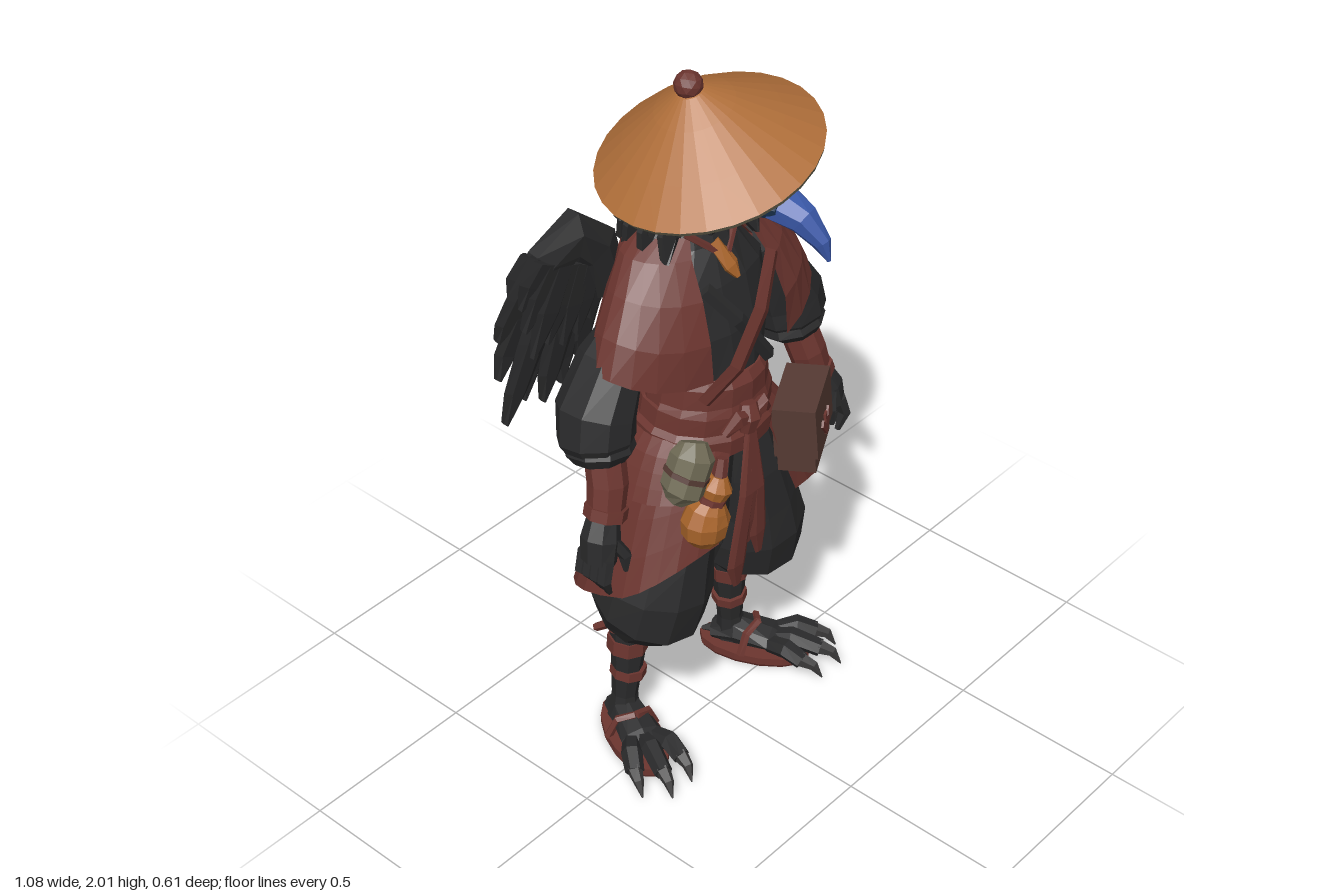
import * as THREE from 'three';

const V = (x, y, z) => new THREE.Vector3(x, y, z);
const mat = (name, color) => {
  const m = new THREE.MeshStandardMaterial({ color, side: THREE.DoubleSide });
  m.name = name;
  return m;
};

// Deterministic jitter
let seed = 7;
const rnd = () => (seed = (seed * 16807) % 2147483647) / 2147483647;
const pow = (v, e) => Math.sign(v) * Math.abs(v) ** e;

// Faceted surface from f(u, v)
function grid(nu, nv, f) {
  const pos = [], idx = [];
  for (let j = 0; j <= nv; j++) for (let i = 0; i <= nu; i++) pos.push(...f(i / nu, j / nv));
  for (let j = 0; j < nv; j++) for (let i = 0; i < nu; i++) {
    const a = j * (nu + 1) + i, b = a + 1, c = a + nu + 1, d = c + 1;
    idx.push(a, b, d, a, d, c);
  }
  const g = new THREE.BufferGeometry();
  g.setAttribute('position', new THREE.Float32BufferAttribute(pos, 3));
  g.setIndex(idx);
  return facet(g);
}

function facet(g) {
  const f = g.index ? g.toNonIndexed() : g;
  f.computeVertexNormals();
  return f;
}

// Closed tapered body through points [x, y, z, radius, second radius]
function tube(pts, n = 8) {
  const p = pts.map(q => V(q[0], q[1], q[2])), last = p.length - 1;
  const dir = p[last].clone().sub(p[0]).normalize();
  const ref = Math.abs(dir.z) > 0.75 ? V(0, 1, 0) : V(0, 0, 1);
  return grid(n, last + 2, (u, v) => {
    const row = Math.round(v * (last + 2)), i = Math.min(Math.max(row - 1, 0), last);
    const k = row === 0 || row === last + 2 ? 0 : 1;
    const t = p[Math.min(i + 1, last)].clone().sub(p[Math.max(i - 1, 0)]).normalize();
    const s = ref.clone().cross(t).normalize(), b = t.clone().cross(s);
    const a = (u % 1) * Math.PI * 2, r = pts[i][3] * k, r2 = (pts[i][4] ?? pts[i][3]) * k;
    return p[i].clone().addScaledVector(s, r * Math.cos(a)).addScaledVector(b, r2 * Math.sin(a)).toArray();
  });
}

export function createModel() {
  const model = new THREE.Group();
  const black = mat('charcoal feather', 0x2a2a2b), red = mat('maroon cloth', 0x6c352f);
  const straw = mat('straw', 0xb06f3a), lining = mat('olive canvas', 0x6f6a55);
  const blue = mat('beak blue', 0x3a58a8), navy = mat('mask navy', 0x1e3a5a);
  const brown = mat('satchel leather', 0x553a33), sole = mat('sandal sole', 0x4c211d);
  const orange = mat('gourd orange', 0xa8642a), claw = mat('claw grey', 0x3b3a3a);

  const add = (name, geo, m, parent = model) => {
    const mesh = new THREE.Mesh(geo, m);
    mesh.name = name;
    parent.add(mesh);
    return mesh;
  };
  const box = (name, m, size, at, rot, parent) => {
    const b = add(name, new THREE.BoxGeometry(...size), m, parent);
    b.position.set(...at);
    b.rotation.set(...rot);
  };

  // Tilted straw hat
  const hat = new THREE.Group();
  hat.name = 'hat';
  hat.position.set(0, 1.775, -0.005);
  hat.rotation.set(-0.07, 0, 0.28);
  model.add(hat);
  const lathe = (pts, n) => facet(new THREE.LatheGeometry(pts.map(q => new THREE.Vector2(...q)), n));
  add('hatCrown', lathe([[0.285, 0], [0.2, 0.068], [0.1, 0.145], [0.035, 0.19], [0, 0.2]], 28), straw, hat);
  add('hatLining', lathe([[0, 0.15], [0.1, 0.1], [0.262, -0.006], [0.28, -0.012], [0.285, 0]], 28), lining, hat);
  add('hatKnob', facet(new THREE.IcosahedronGeometry(0.036, 1)), red, hat).position.y = 0.205;

  // Head, mask and beak
  add('head', tube([[0, 1.52, -0.08, 0.09, 0.09], [0.01, 1.64, -0.06, 0.115, 0.12], [0.01, 1.76, -0.05, 0.13, 0.14],
    [0, 1.84, -0.04, 0.09, 0.1]], 10), black);
  add('beakTip', tube([[0.082, 1.555, 0.303, 0.005], [0.078, 1.6, 0.283, 0.022, 0.026],
    [0.066, 1.652, 0.235, 0.04, 0.04], [0.052, 1.682, 0.17, 0.055, 0.048]], 8), blue);
  add('mask', tube([[0.053, 1.687, 0.19, 0.05, 0.047], [0.042, 1.7, 0.12, 0.085, 0.062],
    [0.025, 1.71, 0.05, 0.122, 0.075], [0.02, 1.71, -0.01, 0.128, 0.075]], 8), navy);
  add('brow', tube([[0.04, 1.76, 0.15, 0.045, 0.02], [0.03, 1.785, 0.08, 0.1, 0.035], [0.01, 1.79, -0.02, 0.12, 0.04]], 8), black);
  for (const s of [1, -1]) add('chinCord', tube([[s * 0.14, 1.83, -0.01, 0.012], [s * 0.145, 1.72, -0.01, 0.012],
    [s * 0.11, 1.6, 0.0, 0.01], [0, 1.5, 0.05, 0.01]], 5), red);
  add('neckCord', tube([[-0.02, 1.54, 0.02, 0.025], [0, 1.48, 0.065, 0.025, 0.015], [0.01, 1.45, 0.08, 0.008]], 5), orange);

  // Shaggy neck feathers in tiers
  for (let tier = 0; tier < 3; tier++) for (let i = 0; i < 12; i++) {
    const a = 0.75 + (i + (tier % 2) * 0.5) / 12 * (Math.PI * 2 - 1.5);
    const y = 1.79 - tier * 0.07, r = 0.11, l = 0.09 + rnd() * 0.05;
    const at = (k, dy, w) => [Math.sin(a) * k * 1.08, y - dy, -0.07 + Math.cos(a) * k, w, 0.014];
    add('neckFeather', tube([at(r, 0, 0.035), at(r + 0.03, l * 0.5, 0.043), at(r + 0.045 + rnd() * 0.02, l, 0.003)], 5), black);
  }

  // Torso with red back panel and sash
  const trunk = [[1.0, 0.17, 0.14, -0.02], [1.17, 0.15, 0.14, -0.02], [1.3, 0.2, 0.14, -0.03],
    [1.42, 0.2, 0.13, -0.05], [1.52, 0.12, 0.11, -0.07], [1.58, 0.1, 0.1, -0.08]];
  add('tunic', tube(trunk.map(([y, rx, rz, z]) => [0, y, z, rx, rz]), 14), black);
  add('coatBack', grid(10, trunk.length - 1, (u, v) => {
    const [y, rx, rz, z] = trunk[Math.round(v * (trunk.length - 1))], a = Math.PI * (0.5 + u);
    return [Math.sin(a) * (rx + 0.015), y, z + Math.cos(a) * (rz + 0.02)];
  }), red);
  add('sash', tube([[0, 0.99, -0.03, 0.195, 0.175], [0, 1.035, -0.025, 0.198, 0.175], [0, 1.05, -0.025, 0.185, 0.165],
    [0, 1.1, -0.02, 0.178, 0.165], [0, 1.115, -0.02, 0.166, 0.158], [0, 1.17, -0.02, 0.158, 0.16],
    [0, 1.195, -0.02, 0.145, 0.145]], 16), red);
  add('lapel', tube([[-0.1, 1.46, 0.07, 0.02, 0.012], [-0.03, 1.36, 0.118, 0.02, 0.012], [0.08, 1.2, 0.125, 0.02, 0.012]], 4), black);
  add('chestStrap', tube([[0.13, 1.47, 0.085, 0.03, 0.012], [0.04, 1.36, 0.13, 0.034, 0.012],
    [-0.06, 1.24, 0.138, 0.034, 0.012], [-0.14, 1.16, 0.1, 0.03, 0.012]], 4), red);

  // Shoulder mantle, open at the front and long at the back
  const cape = [[0, 0.375, 0.175, -0.03], [0.3, 0.335, 0.175, -0.035], [0.6, 0.275, 0.155, -0.05],
    [0.85, 0.21, 0.125, -0.075], [1, 0.13, 0.1, -0.09]];
  add('mantle', grid(22, cape.length - 1, (u, v) => {
    const [h, rx, rz, z] = cape[Math.round(v * (cape.length - 1))];
    const a0 = 0.38 + 0.2 * v, a = a0 + u * (Math.PI * 2 - 2 * a0);
    const back = Math.max(0, -Math.cos(a)) ** 3;
    const y0 = 1.235 + 0.07 * Math.sin(a) ** 4 - 0.08 * back;
    return [Math.sin(a) * rx, y0 + (1.585 - y0) * h, z + Math.cos(a) * rz + 0.02 * back * (1 - h)];
  }), red);

  // Skirt and shorter over-layer; the hem drops toward the back
  const skirt = (a0, hem, grow, rxEnd, frontEnd, backEnd) => grid(26, 4, (u, v) => {
    const a = a0 + u * (Math.PI * 2 - 2 * a0), c = Math.cos(a), w = 1 - v;
    const y = 1.03 + (hem(c) - 1.03) * w, bulge = w ** 0.8, e = 1 - 0.22 * w;
    const rz = c > 0 ? 0.16 + (frontEnd - 0.16) * bulge : 0.15 + (backEnd - 0.15) * bulge;
    return [pow(Math.sin(a), e) * (0.185 + (rxEnd - 0.185) * bulge + grow), y, -0.03 + pow(c, e) * (rz + grow)];
  });
  add('skirt', skirt(0.33, c => 0.6 + 0.14 * c + 0.02 * c * c, 0, 0.365, 0.2, 0.27), red);
  add('skirtOverlayer', skirt(0.8, c => 0.88 + 0.03 * c, 0.012, 0.275, 0.185, 0.218), red);
  add('trouserSeat', tube([[0, 0.47, -0.07, 0.05, 0.06], [0, 0.6, -0.06, 0.08, 0.1], [0, 0.95, -0.03, 0.1, 0.1]], 8), black);

  for (const s of [1, -1]) {
    const side = s > 0 ? 'left' : 'right';
    const limb = (name, pts, m, n = 8, parent = model) =>
      add(side + name, tube(pts.map(([x, ...q]) => [s * x, ...q]), n), m, parent);

    // Arm
    limb('Sleeve', [[0.24, 1.39, -0.06, 0.05], [0.295, 1.3, -0.06, 0.075, 0.09], [0.355, 1.18, -0.06, 0.1, 0.105],
      [0.368, 1.11, -0.05, 0.1, 0.1], [0.37, 1.065, -0.04, 0.07]], black, 9);
    limb('SleeveCuff', [[0.362, 1.105, -0.045, 0.085], [0.367, 1.08, -0.04, 0.092], [0.37, 1.055, -0.035, 0.07]], black, 9);
    limb('Bracer', [[0.367, 1.08, -0.025, 0.052], [0.383, 1.0, 0, 0.052], [0.405, 0.92, 0.01, 0.048]], red);
    limb('BracerBand', [[0.397, 0.945, 0.008, 0.056], [0.407, 0.915, 0.01, 0.056]], red);
    limb('Palm', [[0.41, 0.93, 0.01, 0.04], [0.435, 0.87, 0.02, 0.05, 0.052], [0.45, 0.81, 0.025, 0.04, 0.05]], black);
    for (let i = 0; i < 4; i++) limb('Finger', [[0.455, 0.83, 0.06 - i * 0.025, 0.019], [0.472, 0.775, 0.065 - i * 0.026, 0.018],
      [0.45, 0.725 + i * 0.006, 0.06 - i * 0.022, 0.008]], black, 5);
    limb('Thumb', [[0.425, 0.87, 0.05, 0.018], [0.4, 0.82, 0.07, 0.018], [0.405, 0.775, 0.075, 0.006]], black, 5);

    // Wing: shoulder arch, long feathers and coverts
    limb('WingArch', [[0.19, 1.42, -0.16, 0.05, 0.03], [0.235, 1.55, -0.165, 0.07, 0.04], [0.305, 1.615, -0.17, 0.07, 0.045],
      [0.38, 1.57, -0.18, 0.07, 0.04], [0.43, 1.48, -0.19, 0.04, 0.02]], black, 7);
    const tips = [[0.525, 1.4], [0.53, 1.29], [0.515, 1.15], [0.45, 1.19], [0.385, 1.15], [0.32, 1.17], [0.26, 1.22]];
    tips.forEach(([tx, ty], i) => {
      const k = i / 6, rx = 0.41 - 0.18 * k, ry = 1.6 - 0.08 * k, dz = (i % 2) * 0.01;
      const at = (f, w, z) => [rx + (tx - rx) * f, ry + (ty - ry) * f, z, w, 0.013];
      limb('WingFeather', [at(0, 0.045, -0.17 - dz), at(0.5, 0.052, -0.19 - dz), at(0.8, 0.042, -0.205 - dz), at(1, 0.004, -0.215)], black, 6);
      for (const z of [0.022, -0.022]) limb('WingCovert', [at(0.02, 0.045, -0.175 + z), at(0.3, 0.052, -0.187 + z),
        at(0.58, 0.006, -0.195 + z * 0.6)], black, 6);
    });

    // Trousers, shin and wraps
    limb('Trouser', [[0.2, 0.4, -0.1, 0.07], [0.2, 0.425, -0.09, 0.115], [0.195, 0.485, -0.05, 0.158, 0.16], [0.185, 0.56, -0.035, 0.158, 0.16],
      [0.165, 0.66, -0.03, 0.135, 0.15], [0.125, 0.8, -0.025, 0.11, 0.14], [0.09, 0.98, -0.025, 0.08, 0.12]], black, 11);
    limb('Shin', [[0.225, 0.04, -0.12, 0.045], [0.218, 0.12, -0.12, 0.036], [0.208, 0.25, -0.115, 0.046], [0.2, 0.43, -0.11, 0.06]], black);
    for (const [y, h, r] of [[0.37, 0.012, 0.062], [0.3, 0.022, 0.056], [0.2, 0.014, 0.05]])
      limb('ShinWrap', [[0.21, y - h, -0.115, r], [0.206, y + h, -0.114, r]], red);
    limb('WrapKnot', [[0.25, 0.375, -0.14, 0.014], [0.262, 0.345, -0.18, 0.012]], red, 5);

    // Sandalled clawed foot
    const foot = new THREE.Group();
    foot.name = side + 'Foot';
    foot.position.set(s * 0.222, 0, -0.12);
    foot.rotation.y = s * 0.42;
    model.add(foot);
    const slab = (name, m, r, h, y) => {
      const d = add(name, facet(new THREE.CylinderGeometry(r, r, h, 14)), m, foot);
      d.scale.z = 2.15;
      d.position.set(0, y, 0.07);
    };
    slab('sandal', red, 0.075, 0.022, 0.018);
    slab('sandalSole', sole, 0.073, 0.008, 0.004);
    limb('Instep', [[0, 0.05, -0.05, 0.04, 0.025], [0, 0.065, 0.02, 0.05, 0.045], [0, 0.06, 0.12, 0.06, 0.03], [0, 0.05, 0.16, 0.05, 0.022]], black, 8, foot);
    limb('HeelClaw', [[0, 0.05, -0.04, 0.02], [0, 0.035, -0.085, 0.006]], claw, 5, foot);
    for (const d of [-1, 0, 1]) {
      const reach = d ? 0.23 : 0.265;
      limb('Toe', [[d * 0.03, 0.055, 0.12, 0.025], [d * 0.055, 0.07, 0.18, 0.029], [d * 0.068, 0.05, reach, 0.026]], black, 6, foot);
      limb('Claw', [[d * 0.067, 0.055, reach - 0.005, 0.022], [d * 0.072, 0.045, reach + 0.035, 0.015], [d * 0.072, 0.008, reach + 0.06, 0.002]], claw, 5, foot);
      if (d) limb('SandalStrap', [[d * 0.07, 0.025, 0.05, 0.012], [d * 0.045, 0.085, 0.06, 0.012], [0, 0.1, 0.08, 0.012]], red, 5, foot);
    }
  }

  // Sash knot, loops and hanging tails
  add('sashKnot', tube([[-0.05, 1.06, 0.165, 0.025, 0.02], [-0.045, 1.1, 0.17, 0.036, 0.028], [-0.04, 1.135, 0.16, 0.025, 0.02]], 7), red);
  for (const s of [1, -1]) add('sashLoop', tube([[-0.045, 1.1, 0.17, 0.015], [-0.045 + s * 0.045, 1.115, 0.17, 0.03, 0.018],
    [-0.045 + s * 0.08, 1.08, 0.155, 0.012]], 6), red);
  for (const [x, y, w] of [[-0.1, 0.58, 0.03], [-0.015, 0.64, 0.026], [-0.055, 0.7, 0.03]])
    add('sashTail', tube([[-0.045, 1.09, 0.17, 0.018, 0.01], [-0.045 + (x + 0.045) * 0.5, 0.88, 0.185, w, 0.011],
      [x, y + 0.08, 0.175, w * 1.2, 0.01], [x + 0.015, y, 0.165, w * 0.5, 0.006]], 6), red);

  // Hip satchel with flap and clasp
  const bag = new THREE.Group();
  bag.name = 'satchel';
  bag.position.set(0.21, 0.93, 0.13);
  bag.rotation.set(-0.08, 0.5, 0.06);
  model.add(bag);
  box('satchelBody', brown, [0.19, 0.18, 0.1], [0, -0.01, 0], [0, 0, 0], bag);
  box('satchelFlap', brown, [0.205, 0.15, 0.115], [0, 0.025, 0.002], [0, 0, 0], bag);
  for (const t of [-0.7, 0, 0.7]) box('satchelClasp', red, [0.02, 0.06, 0.008], [t * 0.03, -0.005, 0.062], [0, 0, -t], bag);

  // Bedroll and gourd on the other hip
  add('bedroll', tube([[-0.262, 0.945, 0.11, 0.035], [-0.25, 0.97, 0.125, 0.058], [-0.215, 1.055, 0.13, 0.058], [-0.2, 1.085, 0.12, 0.035]], 8), lining);
  add('bedrollTie', tube([[-0.238, 1.003, 0.127, 0.061], [-0.232, 1.015, 0.128, 0.061]], 8), brown);
  add('gourd', tube([[-0.2, 0.785, 0.15, 0.035], [-0.197, 0.815, 0.152, 0.064, 0.055], [-0.193, 0.855, 0.153, 0.07, 0.06], [-0.187, 0.89, 0.155, 0.055, 0.05],
    [-0.175, 0.915, 0.16, 0.032], [-0.165, 0.945, 0.165, 0.042], [-0.155, 0.975, 0.165, 0.022]], 10), orange);
  add('gourdCord', tube([[-0.18, 0.907, 0.158, 0.039], [-0.175, 0.922, 0.16, 0.039]], 8), red);
  add('gourdStopper', tube([[-0.157, 0.965, 0.165, 0.02], [-0.14, 1.02, 0.16, 0.015]], 6), red);
  return model;
}
